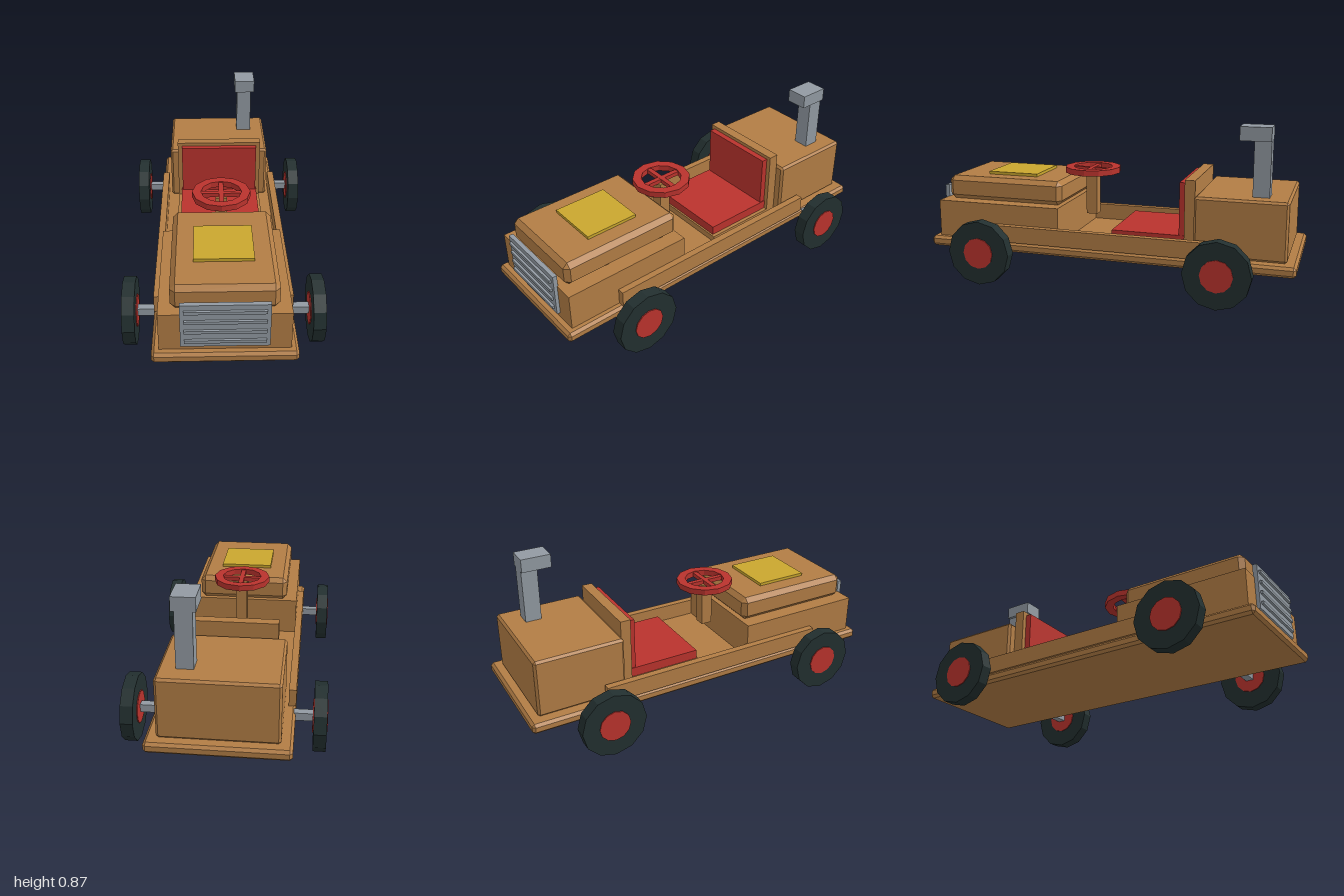
import * as THREE from 'three';
import { ConvexGeometry } from 'three/addons/geometries/ConvexGeometry.js';

const paint = (name, color) => {
  const m = new THREE.MeshStandardMaterial({ color, flatShading: true });
  m.name = name;
  return m;
};

export function createModel() {
  const wood = paint('wood', 0xb27d45);
  const red = paint('red', 0xba332d);
  const metal = paint('metal', 0x929aa2);
  const rubber = paint('rubber', 0x222f2f);
  const yellow = paint('yellow', 0xc9a62e);

  const model = new THREE.Group();
  model.name = 'toyCar';

  const add = (name, geometry, material, parent = model) => {
    const mesh = new THREE.Mesh(geometry, material);
    mesh.name = name;
    parent.add(mesh);
    return mesh;
  };

  // Block given by its extents; c > 0 chamfers every edge
  const block = (name, material, [x0, x1], [y0, y1], [z0, z1], c = 0) => {
    const w = x1 - x0, h = y1 - y0, d = z1 - z0;
    let geometry = new THREE.BoxGeometry(w, h, d);
    if (c > 0) {
      const points = [];
      for (const sx of [-1, 1]) for (const sy of [-1, 1]) for (const sz of [-1, 1]) {
        const a = w / 2, b = h / 2, e = d / 2;
        points.push(
          new THREE.Vector3(sx * a, sy * (b - c), sz * (e - c)),
          new THREE.Vector3(sx * (a - c), sy * b, sz * (e - c)),
          new THREE.Vector3(sx * (a - c), sy * (b - c), sz * e));
      }
      geometry = new ConvexGeometry(points);
    }
    const mesh = add(name, geometry, material);
    mesh.position.set((x0 + x1) / 2, (y0 + y1) / 2, (z0 + z1) / 2);
    return mesh;
  };

  // Wooden body
  block('baseBoard', wood, [-0.345, 0.345], [0.145, 0.2], [-1, 1], 0.014);
  block('lowerHood', wood, [-0.31, 0.31], [0.2, 0.4], [0.255, 0.96]);
  block('upperHood', wood, [-0.253, 0.253], [0.4, 0.53], [0.26, 0.93], 0.025);
  block('rearBox', wood, [-0.29, 0.29], [0.2, 0.51], [-0.95, -0.475], 0.012);
  for (const [name, s] of [['leftRail', 1], ['rightRail', -1]]) {
    block(name, wood, s > 0 ? [0.308, 0.345] : [-0.345, -0.308], [0.2, 0.29], [-0.6, 0.68]);
  }

  // Hood plate and radiator grille
  block('hoodPlate', yellow, [-0.145, 0.145], [0.53, 0.546], [0.44, 0.73]);
  block('grille', metal, [-0.208, 0.208], [0.23, 0.466], [0.955, 0.978]);
  for (let i = 0; i < 4; i++) {
    const y = 0.265 + i * 0.055;
    block('grilleSlat', metal, [-0.19, 0.19], [y - 0.008, y + 0.008], [0.975, 0.99]);
  }

  // Seat
  block('seatBase', wood, [-0.245, 0.245], [0.2, 0.235], [-0.42, -0.01]);
  block('seatBack', wood, [-0.245, 0.245], [0.2, 0.584], [-0.473, -0.418]);
  block('seatCushion', red, [-0.225, 0.225], [0.235, 0.285], [-0.42, -0.02]);
  block('backCushion', red, [-0.22, 0.22], [0.285, 0.565], [-0.42, -0.385]);

  // Steering wheel: twelve-sided rim with crossed spokes
  const ring = (r) => Array.from({ length: 12 }, (_, i) =>
    new THREE.Vector2(r * Math.cos(i * Math.PI / 6), r * Math.sin(i * Math.PI / 6)));
  const rim = new THREE.Shape(ring(0.155));
  rim.holes.push(new THREE.Path(ring(0.108)));
  const rimGeometry = new THREE.ExtrudeGeometry(rim, { depth: 0.032, bevelEnabled: false });
  rimGeometry.rotateX(-Math.PI / 2);
  add('steeringRim', rimGeometry, red).position.set(0, 0.551, 0.16);
  block('steeringSpokeAcross', red, [-0.115, 0.115], [0.555, 0.578], [0.147, 0.173]);
  block('steeringSpokeAlong', red, [-0.013, 0.013], [0.554, 0.577], [0.045, 0.275]);
  block('steeringColumn', wood, [-0.031, 0.031], [0.315, 0.556], [0.129, 0.191]);

  // Exhaust stack
  block('exhaustPipe', metal, [0.12, 0.205], [0.505, 0.795], [-0.843, -0.757]);
  block('exhaustCap', metal, [0.104, 0.221], [0.795, 0.866], [-0.843, -0.685]);

  // Axles and wheels
  const tyreGeometry = new THREE.CylinderGeometry(0.172, 0.172, 0.063, 12).rotateZ(Math.PI / 2);
  const hubGeometry = new THREE.CylinderGeometry(0.083, 0.083, 0.073, 12).rotateZ(Math.PI / 2);
  for (const [end, z] of [['front', 0.635], ['rear', -0.635]]) {
    block(end + 'Axle', metal, [-0.44, 0.44], [0.154, 0.195], [z - 0.021, z + 0.021]);
    for (const [side, s] of [['Left', 1], ['Right', -1]]) {
      const wheel = new THREE.Group();
      wheel.name = end + side + 'Wheel';
      wheel.position.set(s * 0.465, 0.173, z);
      add('tyre', tyreGeometry, rubber, wheel);
      add('hub', hubGeometry, red, wheel);
      model.add(wheel);
    }
  }
  return model;
}
